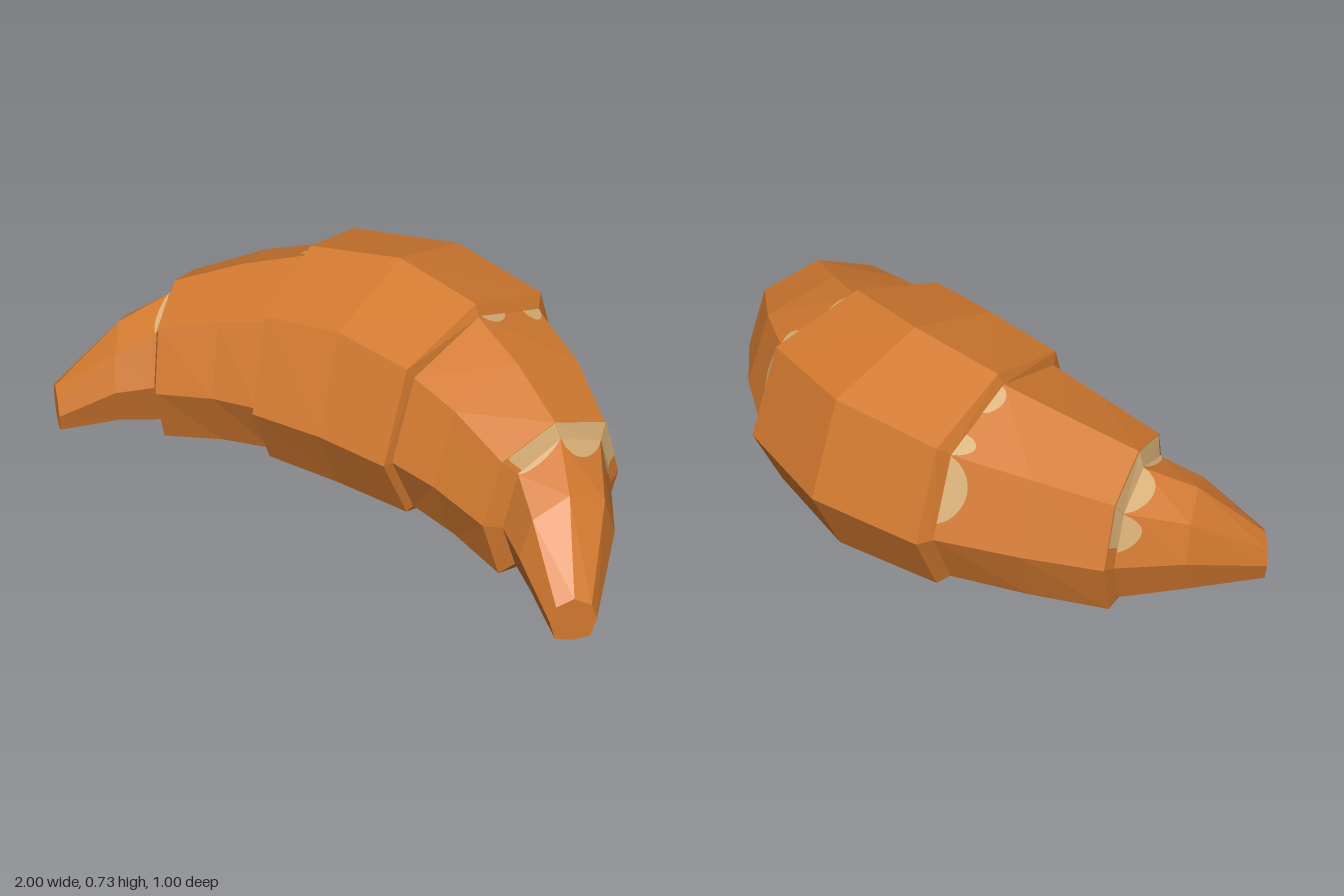
import * as THREE from 'three';

const crust = new THREE.MeshStandardMaterial({ color: 0xd37a30, flatShading: true });
crust.name = 'crust';
const paleDough = new THREE.MeshStandardMaterial({ color: 0xd9b077, flatShading: true });
paleDough.name = 'paleDough';

// Octagonal ring: centre (x, z), offset to the back corner (dx, dz),
// heights from top to bottom, share of the offset at the diagonal corners.
function ring(x, z, dx, dz, ys, diag = 0.75) {
  const across = [0, diag, 1, diag, 0, -diag, -1, -diag];
  const level = [0, 1, 2, 3, 4, 3, 2, 1];
  return across.map((a, i) => new THREE.Vector3(x + dx * a, ys[level[i]], z + dz * a));
}

// Rings of one half, from the middle to the tip
const rings = [
  ring(0, -0.075, 0, -0.425, [0.725, 0.625, 0.315, 0.085, 0]),
  ring(0.3, -0.03, 0.06, -0.39, [0.69, 0.6, 0.31, 0.095, 0.025]),
  ring(0.315, -0.02, 0.065, -0.35, [0.655, 0.565, 0.31, 0.11, 0.055]),
  ring(0.5, 0.055, 0.095, -0.29, [0.6, 0.525, 0.295, 0.095, 0.05]),
  ring(0.69, 0.155, 0.09, -0.228, [0.525, 0.458, 0.26, 0.065, 0.055]),
  ring(0.71, 0.155, 0.07, -0.185, [0.475, 0.412, 0.245, 0.095, 0.06]),
  ring(0.82, 0.28, 0.08, -0.13, [0.395, 0.345, 0.225, 0.1, 0.057]),
  ring(0.95, 0.455, 0.05, -0.045, [0.2, 0.175, 0.125, 0.065, 0.055]),
];

// Turns triangles into a mesh; side -1 mirrors them and flips the corner order
function meshFrom(tris, side, material, name) {
  const pos = [];
  for (const [a, b, c] of tris) {
    for (const p of side > 0 ? [a, b, c] : [a, c, b]) pos.push(p.x * side, p.y, p.z);
  }
  const geo = new THREE.BufferGeometry();
  geo.setAttribute('position', new THREE.Float32BufferAttribute(pos, 3));
  geo.computeVertexNormals();
  const mesh = new THREE.Mesh(geo, material);
  mesh.name = name;
  return mesh;
}

// Skin between consecutive rings, optionally closed at the end
function loft(from, to, closed) {
  const tris = [];
  for (let r = from; r < to; r++) {
    const A = rings[r], B = rings[r + 1];
    for (let k = 0; k < 8; k++) {
      const n = (k + 1) % 8;
      tris.push([A[k], B[n], A[n]], [A[k], B[k], B[n]]);
    }
  }
  if (closed) {
    const E = rings[to];
    for (let k = 1; k < 7; k++) tris.push([E[0], E[k + 1], E[k]]);
  }
  return tris;
}

// Point on face k after ring r, lifted slightly off the skin
function onFace(r, k, u, v) {
  const n = (k + 1) % 8;
  const a = rings[r][k], b = rings[r][n], c = rings[r + 1][n], d = rings[r + 1][k];
  const mix = (i, s, j, t) => a.clone().addScaledVector(i, s).addScaledVector(j, t);
  const sub = (p, q) => p.clone().sub(q);
  const p = u >= v ? mix(sub(b, a), u, sub(c, b), v) : mix(sub(d, a), v, sub(c, d), u);
  const normal = sub(c, a).cross(sub(b, d)).normalize();
  return p.addScaledVector(normal, 0.004);
}

// Pale patch growing from ring r: half oval of height h, or a full band if h is 1
function patch(r, k, u0, u1, h) {
  const tris = [], cols = 14, rows = 4;
  const at = (i, j) => {
    const t = i / cols;
    const top = h === 1 ? 1 : h * Math.pow(Math.sin(Math.PI * t), 0.6);
    return onFace(r, k, u0 + (u1 - u0) * t, (top * j) / rows);
  };
  for (let i = 0; i < cols; i++) {
    for (let j = 0; j < rows; j++) {
      const a = at(i, j), b = at(i + 1, j), c = at(i + 1, j + 1), d = at(i, j + 1);
      tris.push([a, c, b], [a, d, c]);
    }
  }
  return tris;
}

export function createModel() {
  const model = new THREE.Group();
  model.name = 'croissant';

  for (const side of [1, -1]) {
    const half = new THREE.Group();
    half.name = side > 0 ? 'leftHalf' : 'rightHalf';
    half.add(
      meshFrom(loft(0, 2), side, crust, 'middleRoll'),
      meshFrom(loft(2, 5), side, crust, 'shoulderRoll'),
      meshFrom(loft(5, 7, true), side, crust, 'tip'),
    );

    // Unbaked dough showing beside the middle roll
    const shoulderDough = [
      ...patch(2, 0, 0.04, 0.42, 0.14),
      ...patch(2, 0, 0.72, 1, 0.2),
      ...patch(2, 1, 0, 0.8, 0.27),
    ];
    half.add(meshFrom(shoulderDough, side, paleDough, 'shoulderDough'));

    // Unbaked dough on the step and at the root of the tip
    const tipDough = [
      ...patch(4, 7, 0.1, 1, 1),
      ...patch(4, 0, 0, 1, 1),
      ...patch(4, 1, 0, 0.65, 1),
      ...patch(5, 7, 0, 1, 0.12),
      ...patch(5, 0, 0, 1, 0.3),
      ...patch(5, 1, 0, 0.7, 0.3),
    ];
    half.add(meshFrom(tipDough, side, paleDough, 'tipDough'));
    model.add(half);
  }
  return model;
}
